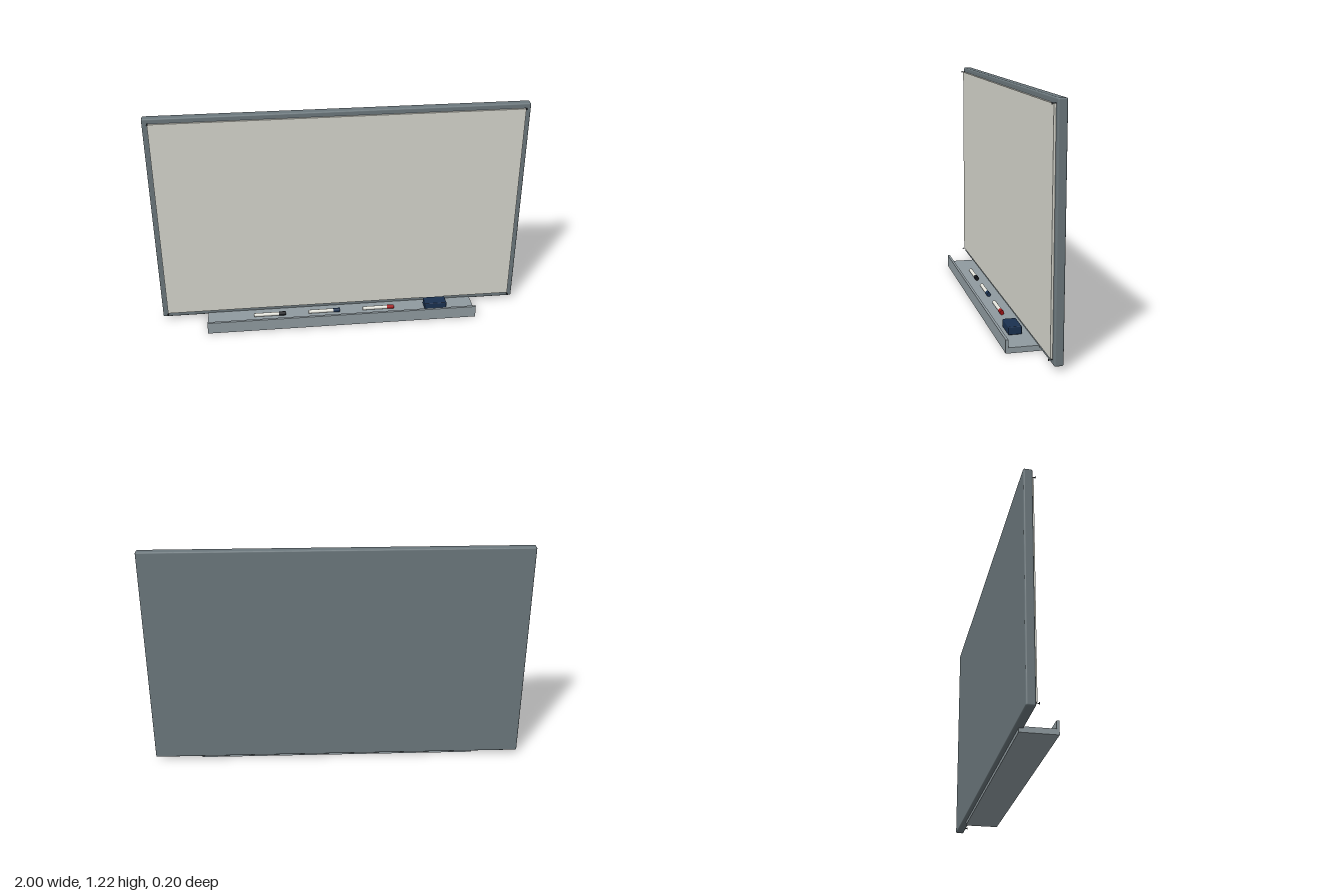
import * as THREE from 'three';
import { RoundedBoxGeometry } from 'three/addons/geometries/RoundedBoxGeometry.js';

const mat = (color) => new THREE.MeshStandardMaterial({ color });

export function createModel() {
  const model = new THREE.Group();
  const frameMat = mat(0x6b777c), surfaceMat = mat(0xd5d5cc), trayMat = mat(0x8f9a9f);
  const navy = mat(0x1a3150), white = mat(0xe4e4dc), dark = mat(0x2a2f33);

  const add = (name, geometry, material, x, y, z, parent = model) => {
    const mesh = new THREE.Mesh(geometry, material);
    mesh.name = name;
    mesh.position.set(x, y, z);
    parent.add(mesh);
    return mesh;
  };

  // Board: rounded frame slab with the writing surface standing slightly proud
  add('frame', new RoundedBoxGeometry(2, 1.196, 0.045, 3, 0.008), frameMat, 0, 0.617, -0.0795);
  add('writingSurface', new THREE.BoxGeometry(1.944, 1.14, 0.02), surfaceMat, 0, 0.618, -0.0565);

  // Corner screws: thin shank and small head
  for (const x of [-0.971, 0.971]) {
    for (const y of [0.044, 1.19]) {
      const screw = new THREE.Group();
      screw.name = 'cornerScrew';
      screw.position.set(x, y, 0);
      model.add(screw);
      add('screwShank', new THREE.CylinderGeometry(0.002, 0.002, 0.02, 8), dark, 0, 0, -0.05, screw).rotation.x = Math.PI / 2;
      add('screwHead', new THREE.CylinderGeometry(0.005, 0.005, 0.003, 12), dark, 0, 0, -0.0385, screw).rotation.x = Math.PI / 2;
    }
  }

  // Tray: L-shaped profile extruded along x
  const profile = new THREE.Shape();
  [[0.08, 0], [0.08, 0.028], [-0.09, 0.028], [-0.09, 0.067], [-0.103, 0.067], [-0.103, 0]]
    .forEach(([u, v], i) => (i ? profile.lineTo(u, v) : profile.moveTo(u, v)));
  const trayGeometry = new THREE.ExtrudeGeometry(profile, { depth: 1.5, bevelEnabled: false });
  trayGeometry.translate(0, 0, -0.75).rotateY(Math.PI / 2);
  add('tray', trayGeometry, trayMat, 0, 0, 0);

  // Markers: white barrel with a coloured cap at the +x end
  const markers = [[-0.493, 0x15181c], [-0.187, 0x1a3150], [0.12, 0xa01418]];
  for (const [x, color] of markers) {
    const marker = new THREE.Group();
    marker.name = 'marker';
    marker.position.set(x, 0.039, 0.01);
    model.add(marker);
    add('markerBarrel', new THREE.CylinderGeometry(0.01, 0.01, 0.145, 20), white, 0.0725, 0, 0, marker).rotation.z = Math.PI / 2;
    add('markerCap', new THREE.CylinderGeometry(0.0115, 0.0115, 0.038, 20), mat(color), 0.158, 0, 0, marker).rotation.z = Math.PI / 2;
  }

  // Eraser resting in the tray
  add('eraser', new RoundedBoxGeometry(0.124, 0.042, 0.068, 3, 0.005), navy, 0.532, 0.0495, 0.0165);

  return model;
}
